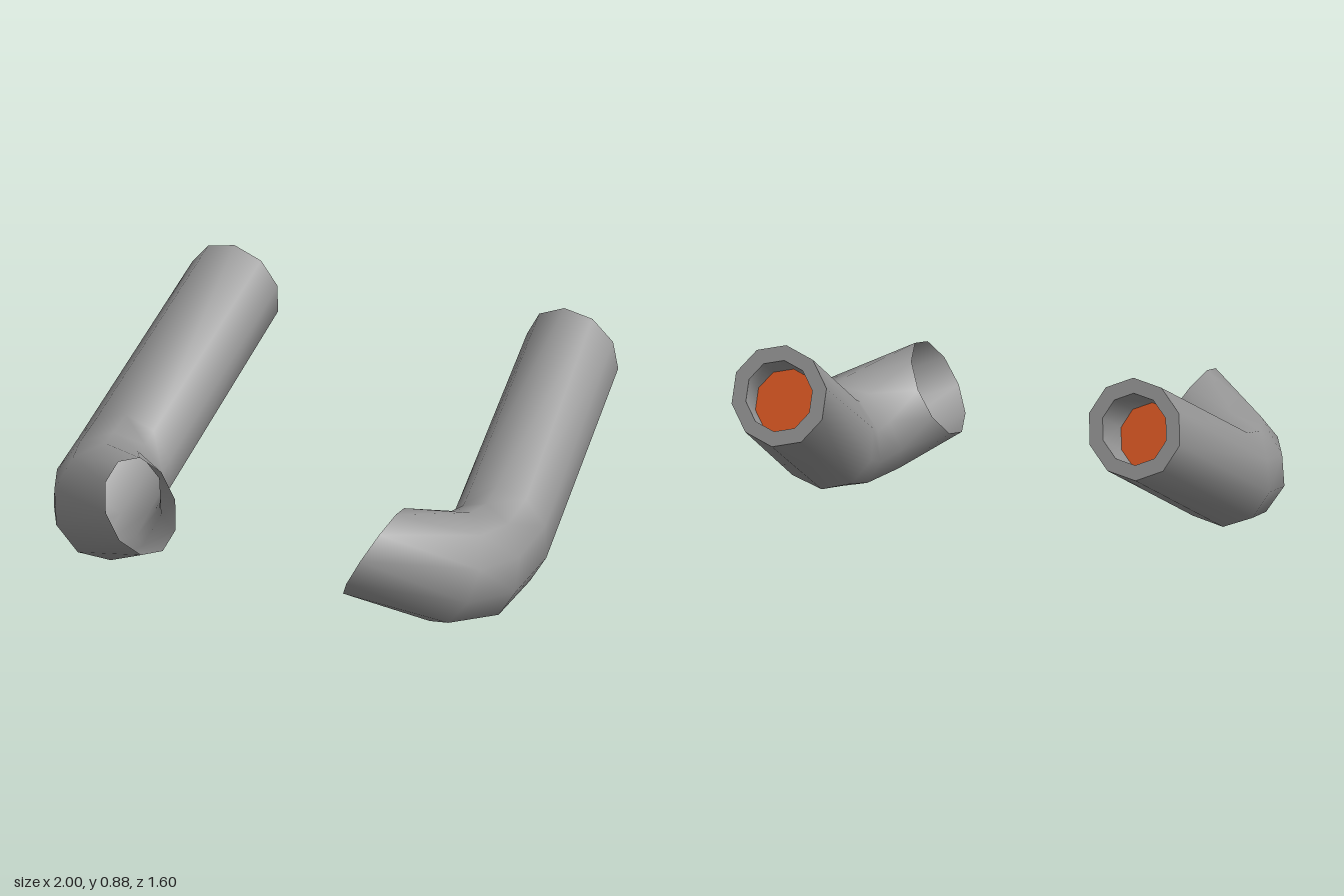
import * as THREE from 'three';

const SIDES = 10;

// Cross-sections of the left pipe, back to front: centre, outward half-axis, upward half-axis, phase in degrees
const SECTIONS = [
  { c: [0.72, 0.685, -0.763], u: [0.193, 0, -0.005], v: [0, 0.196, 0.04], phase: 95 },
  { c: [0.803, 0.26, 0.08], u: [0.205, 0, 0], v: [0, 0.212, 0], phase: 93 },
  { c: [0.795, 0.22, 0.237], u: [0.2, 0, 0.079], v: [0.005, 0.218, -0.05], phase: 91 },
  { c: [0.73, 0.237, 0.38], u: [0.171, 0, 0.137], v: [0.05, 0.206, -0.08], phase: 90 },
  { c: [0.497, 0.342, 0.58], u: [0.017, 0, 0.231], v: [0.095, 0.171, 0], phase: 90 },
];

// Corner points of one section, optionally shrunk and moved
function ring({ c, u, v, phase }, scale = 1, shift = [0, 0, 0]) {
  return Array.from({ length: SIDES }, (_, i) => {
    const a = THREE.MathUtils.degToRad(phase) + (i / SIDES) * Math.PI * 2;
    return c.map((value, k) => value + shift[k] + scale * (u[k] * Math.cos(a) + v[k] * Math.sin(a)));
  });
}

// Closed skin through a row of rings, smooth around and along
function loft(rings) {
  const index = [];
  for (let r = 0; r < rings.length - 1; r++) {
    for (let i = 0; i < SIDES; i++) {
      const a = r * SIDES + i;
      const b = r * SIDES + ((i + 1) % SIDES);
      index.push(a, b, b + SIDES, a, b + SIDES, a + SIDES);
    }
  }
  const geometry = new THREE.BufferGeometry();
  geometry.setAttribute('position', new THREE.Float32BufferAttribute(rings.flat(2), 3));
  geometry.setIndex(index);
  geometry.computeVertexNormals();
  return geometry;
}

export function createModel() {
  const grey = new THREE.MeshStandardMaterial({ color: 0x969696, side: THREE.DoubleSide });
  grey.name = 'pipe grey';
  const orange = new THREE.MeshStandardMaterial({ color: 0xe05a24, side: THREE.DoubleSide });
  orange.name = 'glowing orange';

  const back = SECTIONS[0];
  const hole = 0.7;
  const inward = [0.018, -0.09, 0.18]; // bore depth along the pipe

  const outer = ring(back);
  const rim = ring(back, hole);
  const floor = ring(back, hole, inward);
  const centre = ring(back, 0, inward);

  const parts = [
    ['pipeShell', loft(SECTIONS.map((s) => ring(s))), grey],
    ['backRim', loft([rim, outer]), grey],
    ['bore', loft([floor, rim]), grey],
    ['boreFloor', loft([centre, floor]), orange],
  ];

  // The same pipe on both sides, mirrored across x
  const model = new THREE.Group();
  model.name = 'bentPipes';
  for (const [name, side] of [['leftPipe', 1], ['rightPipe', -1]]) {
    const pipe = new THREE.Group();
    pipe.name = name;
    for (const [partName, geometry, material] of parts) {
      const mesh = new THREE.Mesh(geometry, material);
      mesh.name = partName;
      pipe.add(mesh);
    }
    pipe.scale.x = side;
    model.add(pipe);
  }
  return model;
}
